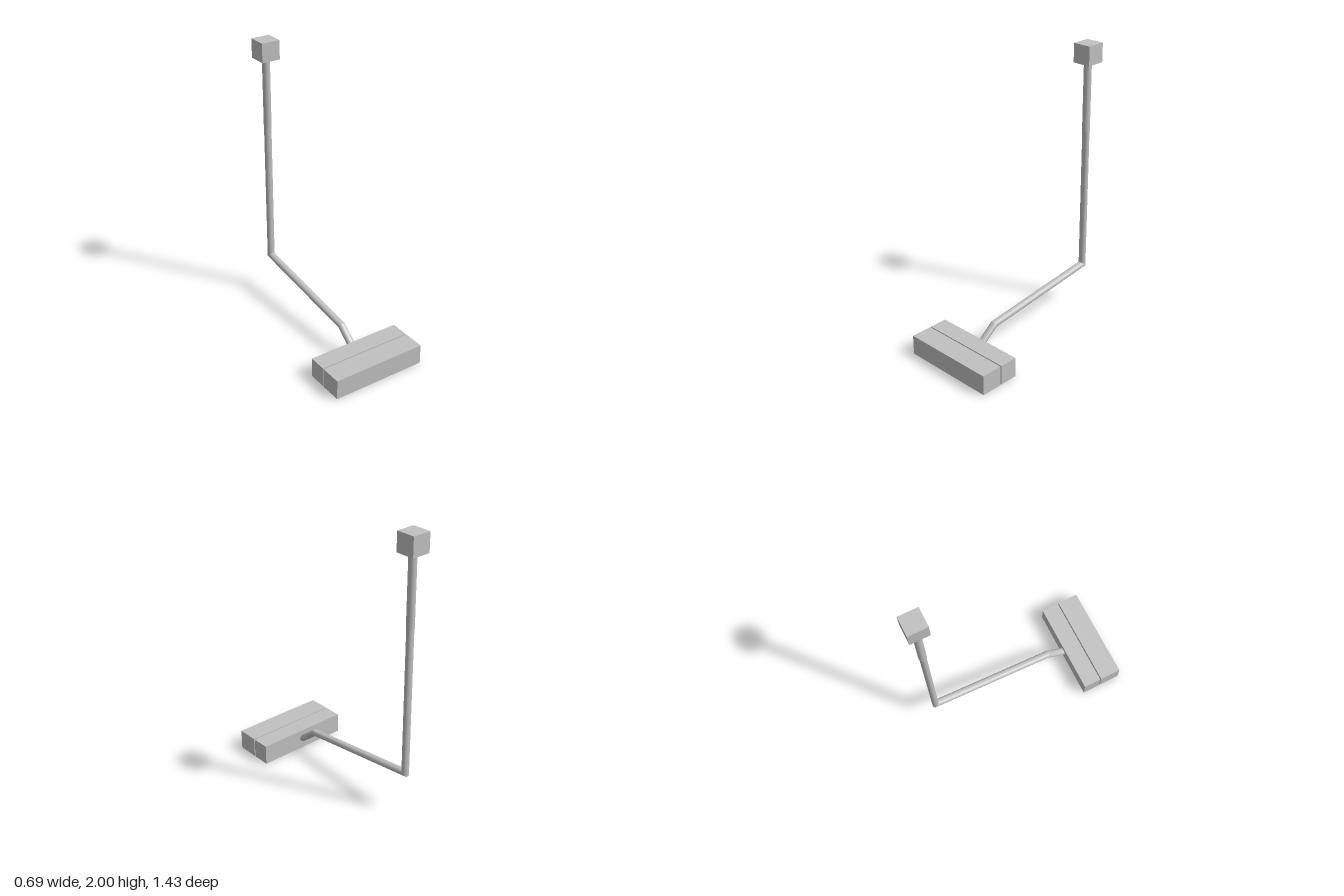
import * as THREE from 'three';
import { toCreasedNormals } from 'three/addons/utils/BufferGeometryUtils.js';

// Tube with mitred bends along a path of [y, z] points; oval section rx (sideways) by ry.
function mitredTube(path, rx, ry, sides = 24) {
  const pts = path.map(([y, z]) => new THREE.Vector2(y, z));
  const dirs = pts.slice(1).map((p, i) => p.clone().sub(pts[i]).normalize());
  const pos = [], index = [];
  pts.forEach((p, i) => {
    const before = dirs[Math.max(i - 1, 0)];
    const after = dirs[Math.min(i, dirs.length - 1)];
    const t = before.clone().add(after).normalize();
    const r = ry / t.dot(after); // widen the section at a mitre
    for (let j = 0; j < sides; j++) {
      const a = (j / sides) * Math.PI * 2;
      const s = Math.sin(a) * r;
      pos.push(Math.cos(a) * rx, p.x + t.y * s, p.y - t.x * s);
    }
  });
  const last = (pts.length - 1) * sides;
  for (let j = 0; j < sides; j++) {
    const k = (j + 1) % sides;
    for (let b = 0; b < last; b += sides) {
      index.push(b + j, b + k, b + sides + k, b + j, b + sides + k, b + sides + j);
    }
    // end caps
    if (j > 0 && j < sides - 1) {
      index.push(0, k, j, last, last + j, last + k);
    }
  }
  const geo = new THREE.BufferGeometry();
  geo.setAttribute('position', new THREE.Float32BufferAttribute(pos, 3));
  geo.setIndex(index);
  return toCreasedNormals(geo, 0.45);
}

export function createModel() {
  const group = new THREE.Group();
  const grey = new THREE.MeshStandardMaterial({ color: 0xc0c0c0 });
  grey.name = 'light grey';

  const add = (name, geo) => {
    const mesh = new THREE.Mesh(geo, grey);
    mesh.name = name;
    group.add(mesh);
    return mesh;
  };
  // Box from its width and its y and z limits
  const block = (name, w, y0, y1, z0, z1) =>
    add(name, new THREE.BoxGeometry(w, y1 - y0, z1 - z0))
      .position.set(0, (y0 + y1) / 2, (z0 + z1) / 2);

  // Two long blocks at the foot, with a narrow gap between
  block('frontBlock', 0.694, 0, 0.145, 0.561, 0.717);
  block('rearBlock', 0.694, 0, 0.145, 0.422, 0.553);

  // Cube on top of the post
  block('topCube', 0.138, 1.863, 2, -0.717, -0.579);

  // Bent arm rising into the post
  add('bentArm', mitredTube(
    [[0.077, 0.422], [0.192, 0.278], [0.309, -0.648], [1.38, -0.648]], 0.0272, 0.0235));

  // Slightly thicker upper sleeve
  add('upperPost', new THREE.CylinderGeometry(0.0275, 0.0275, 0.503, 24))
    .position.set(0, 1.6165, -0.648);

  return group;
}
